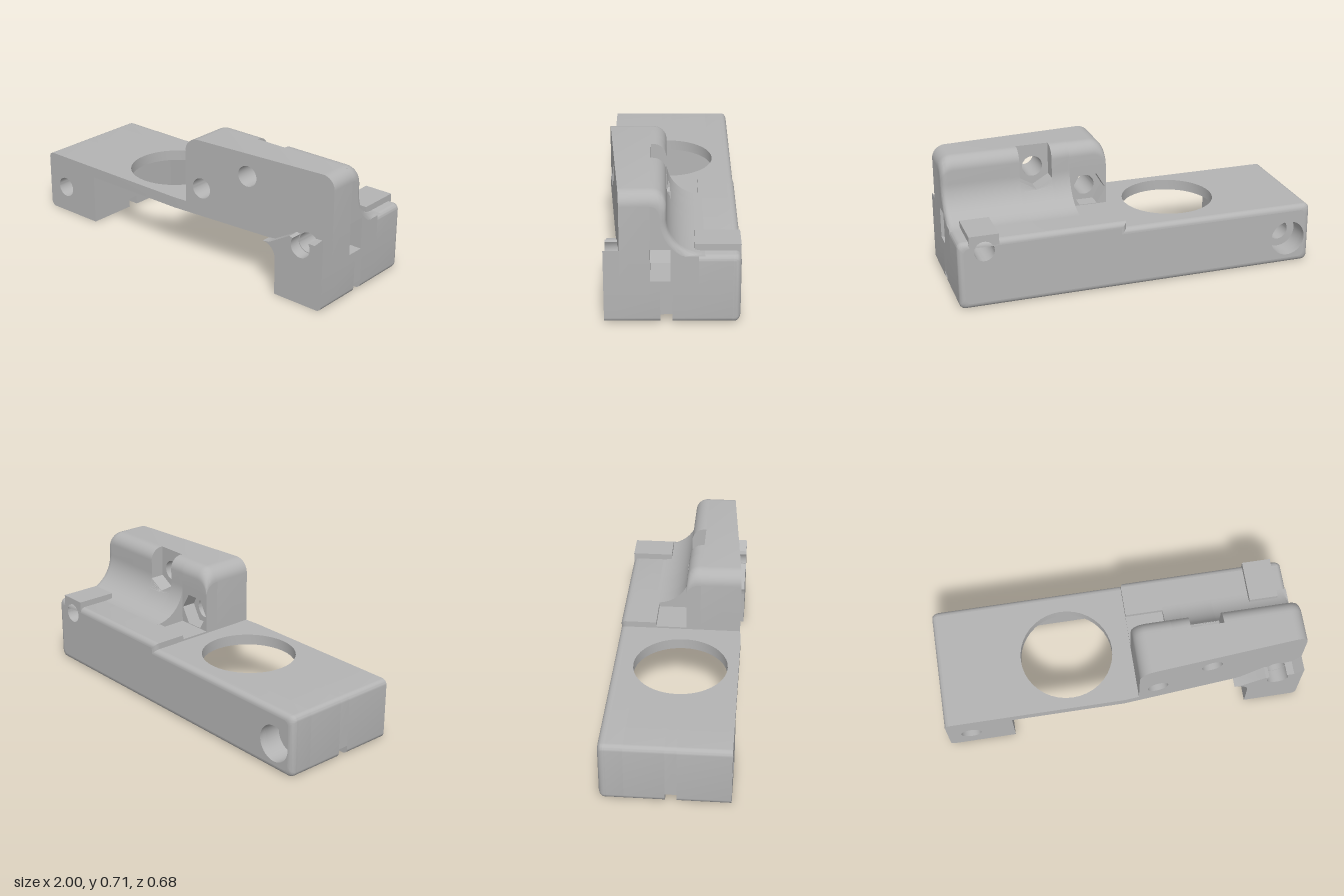
import * as THREE from 'three';
import { toCreasedNormals } from 'three/addons/utils/BufferGeometryUtils.js';

const grey = new THREE.MeshStandardMaterial({ color: 0xb4b4b4, side: THREE.DoubleSide });
grey.name = 'grey plastic';

const BOLT = 0.057;
const taper = x => Math.min(0.34, 0.34 - 0.08 * x); // front face runs back towards +x

// Polygon from [x, y, radius] corners; right-angled corners may be rounded.
function roundPoly(corners) {
  const out = [], n = corners.length;
  corners.forEach(([x, y, r], i) => {
    const p = new THREE.Vector2(x, y);
    if (!r) { out.push(p); return; }
    const dir = q => new THREE.Vector2(q[0] - x, q[1] - y).normalize().multiplyScalar(r);
    const a = dir(corners[(i + n - 1) % n]), b = dir(corners[(i + 1) % n]);
    for (let k = 0; k <= 8; k++) {
      const t = k / 8 * Math.PI / 2;
      out.push(p.clone().addScaledVector(a, 1 - Math.sin(t)).addScaledVector(b, 1 - Math.cos(t)));
    }
  });
  return out;
}

// Shape with round (or hexagonal) holes given as [x, y, radius, sides].
function makeShape(corners, holes = []) {
  const shape = new THREE.Shape(roundPoly(corners));
  for (const [x, y, r, n = 40] of holes) {
    const pts = [];
    for (let i = 0; i < n; i++) {
      const a = -i / n * Math.PI * 2;
      pts.push(new THREE.Vector2(x + r * Math.cos(a), y + r * Math.sin(a)));
    }
    shape.holes.push(new THREE.Path(pts));
  }
  return shape;
}

const rect = (x0, y0, x1, y1) => [[x0, y0], [x1, y0], [x1, y1], [x0, y1]];

// Skin through matching rings of Vector3, optionally closed at both ends.
function loft(rings, caps, flat) {
  const n = rings[0].length, index = [];
  const pos = rings.flat().flatMap(p => [p.x, p.y, p.z]);
  for (let s = 0; s < rings.length - 1; s++) {
    for (let i = 0; i < n; i++) {
      const a = s * n + i, b = s * n + (i + 1) % n;
      index.push(a, b, a + n, b, b + n, a + n);
    }
  }
  if (caps) {
    [0, rings.length - 1].forEach(s => {
      THREE.ShapeUtils.triangulateShape(rings[s].map(flat), []).forEach(t =>
        index.push(...(s ? t : [t[0], t[2], t[1]]).map(i => i + s * n)));
    });
  }
  const g = new THREE.BufferGeometry();
  g.setAttribute('position', new THREE.Float32BufferAttribute(pos, 3));
  g.setIndex(index);
  return g;
}

export function createModel() {
  const model = new THREE.Group();
  model.name = 'mountingBracket';

  const add = (name, geo) => {
    const mesh = new THREE.Mesh(toCreasedNormals(geo, 0.5), grey);
    mesh.name = name;
    model.add(mesh);
  };
  const extrude = (shape, depth) => new THREE.ExtrudeGeometry(shape, { depth, bevelEnabled: false });
  // Prism along z; either end may be a function of x.
  const prismZ = (name, corners, z0, z1, holes) => {
    const g = extrude(makeShape(corners, holes), 1), p = g.attributes.position;
    const at = (z, x) => (typeof z === 'function' ? z(x) : z);
    for (let i = 0; i < p.count; i++) p.setZ(i, at(p.getZ(i) > 0.5 ? z1 : z0, p.getX(i)));
    add(name, g);
  };
  // Prism along y with corners given as [x, z].
  const prismY = (name, corners, y0, y1, holes) =>
    add(name, extrude(makeShape(corners, holes), y1 - y0).rotateX(Math.PI / 2).translate(0, y1, 0));

  // Back wall with a rounded rear rim
  const bigBore = [-0.87, 0.15, 0.1], bolt = [0.86, 0.32, 0.055];
  const outline = i => [
    [-1 + i, i, 0.03], [1 - i, i, 0.03], [1 - i, 0.375 - i, 0.03],
    [0.08 + i, 0.375 - i], [0.08 + i, 0.34 - i], [-1 + i, 0.34 - i, 0.03]];
  prismZ('backWall', outline(0), -0.31, -0.3, [bigBore, bolt]);
  const rim = [];
  for (let k = 0; k <= 6; k++) {
    const t = k / 6 * Math.PI / 2;
    rim.push(roundPoly(outline(0.03 * (1 - Math.cos(t))))
      .map(p => new THREE.Vector3(p.x, p.y, -0.31 - 0.03 * Math.sin(t))));
  }
  add('backRim', loft(rim));
  add('backFace', new THREE.ShapeGeometry(makeShape(outline(0.03), [bigBore, bolt]))
    .rotateY(Math.PI).scale(-1, 1, 1).translate(0, 0, -0.34));
  for (const [x, y, r] of [bigBore, bolt]) {
    add('boreLining', new THREE.CylinderGeometry(r, r, 0.03, 40, 1, true)
      .rotateX(Math.PI / 2).translate(x, y, -0.325));
  }

  // Right leg (-x): counterbored rear, bolt hole, groove and screw holes underneath
  const footEdge = (x, y) => [[-1, y, y ? 0 : 0.03], [x, y], [x, 0.34], [-1, 0.34, 0.03]];
  prismZ('rightLegRear', footEdge(-0.63, 0), -0.3, -0.21, [bigBore]);
  for (const [z0, z1, y] of [[-0.21, 0, 0], [0, 0.06, 0.05], [0.06, 0.34, 0]]) {
    prismZ('rightLegOuter', footEdge(-0.805, y), z0, z1, [[-0.87, 0.15, BOLT]]);
    const screw = y ? [] : [[-0.727, z0 < 0 ? -0.125 : 0.185, 0.07]];
    prismY('rightLegInner', rect(-0.805, z0, -0.63, z1), y, 0.28, screw);
  }

  // Left leg (+x)
  for (const [z0, z1, y] of [[-0.3, 0, 0], [0, 0.06, 0.05], [0.06, 0.34, 0]]) {
    const screw = y ? [] : [[0.8, z0 < 0 ? -0.125 : 0.185, 0.07]];
    prismY('leftLegInner', rect(0.7, z0, 0.97, z1), y, 0.2, screw);
    prismZ('leftLegOuter', [[0.97, y], [1, y, y ? 0 : 0.03], [1, 0.2], [0.97, 0.2]], z0, z1);
  }

  // Deck with the large round opening
  prismY('deck', [[-0.805, -0.21], [-0.63, -0.21], [-0.63, -0.3], [0.08, -0.3],
    [0.08, taper(0.08)], [0, 0.34], [-0.805, 0.34]], 0.28, 0.34, [[-0.28, 0.025, 0.256]]);

  // Shelf under the raised block, with the side nut slot
  const under = x => [[x, 0.28], [0.7, 0.28, 0.08], [0.7, 0.2], [1, 0.2]];
  prismZ('shelfRear', [...under(0.29), [1, 0.375, 0.03], [0.29, 0.375]], -0.3, -0.13, [bolt]);
  prismZ('shelfMiddle', [...under(0.29), [1, 0.375], [0.29, 0.375]], -0.13, 0.01, [bolt]);
  prismZ('shelfNutSlot', [...under(0.29), [1, 0.235], [0.81, 0.235], [0.76, 0.323],
    [0.81, 0.41], [0.29, 0.41]], 0.01, 0.11);
  prismZ('shelfEnd', rect(0.08, 0.28, 0.29, 0.375), -0.3, -0.14);
  prismZ('recessFloor', rect(0.08, 0.28, 0.29, 0.35), -0.14, 0.03);
  prismZ('hexNutRecess', rect(0.08, 0.28, 0.29, 0.56), 0.03, 0.11, [[0.185, 0.44, 0.1, 6]]);
  prismZ('rearBoss', rect(0.78, 0.25, 0.94, 0.41), -0.3395, -0.11, [bolt]);

  // Raised front plate with its tapered face
  prismZ('frontPlate', [...under(0.08), [1, 0.71, 0.07], [0.08, 0.71, 0.08]], 0.11, taper,
    [bolt, [0.185, 0.44, BOLT], [0.48, 0.585, BOLT]]);

  // Pad on the front of the left leg, notched around the bolt
  const notch = [];
  for (let i = 0; i <= 16; i++) {
    const a = (35 - i / 16 * 250) * Math.PI / 180;
    notch.push([0.86 + 0.06 * Math.cos(a), 0.32 + 0.06 * Math.sin(a)]);
  }
  prismZ('legPad', [...under(0.62), [1, 0.405], [0.95, 0.355], ...notch, [0.79, 0.36], [0.66, 0.285]],
    taper, 0.34);

  // Swept rear of the raised block: cross-section at one x
  const section = (x, { top = 0, side = 0, maxY = 1, minY = 0.375, minZ = -1 } = {}) => {
    const pts = [];
    for (let k = 0; k <= 20; k++) {
      const a = (k / 20 - 1) * Math.PI / 2, r = 0.19 + side;
      pts.push([-0.16 + r * Math.cos(a), 0.565 + r * Math.sin(a)]);
    }
    for (let k = 0; k <= 10; k++) {
      const a = k / 10 * Math.PI / 2;
      pts.push([0.1 - (0.07 - side) * Math.cos(a), 0.64 - top + 0.07 * Math.sin(a)]);
    }
    pts.push([0.11, 0.71 - top], [0.11, 0.41], [0.01, 0.41], [0.01, 0.375]);
    return pts.map(([z, y]) =>
      new THREE.Vector3(x, Math.max(minY, Math.min(y, maxY)), Math.max(z, minZ)));
  };
  const zy = p => new THREE.Vector2(p.z, p.y);
  const rightEnd = [section(0.57)], leftEnd = [];
  for (let k = 0; k <= 10; k++) {
    const t = k / 10 * Math.PI / 2, x = 0.93 + 0.07 * Math.sin(t), e = Math.max(0, x - 0.97);
    rightEnd.push(section(x, {
      top: 0.07 * (1 - Math.cos(t)), side: 0.03 - Math.sqrt(Math.max(0, 0.0009 - e * e)) }));
    leftEnd.unshift(section(0.16 - 0.08 * Math.sin(t), {
      top: 0.08 * (1 - Math.cos(t)), minY: 0.56, minZ: 0.03 }));
  }
  leftEnd.push(section(0.29, { minY: 0.56, minZ: 0.03 }));
  add('blockInnerEnd', loft(leftEnd, true, zy));
  add('blockMiddle', loft([section(0.29), section(0.39)], true, zy));
  add('nutSlotFloor', loft([[0.39, 0.533], [0.48, 0.48], [0.57, 0.533]]
    .map(([x, maxY]) => section(x, { maxY })), true, zy));
  add('blockOuterEnd', loft(rightEnd, true, zy));

  return model;
}
